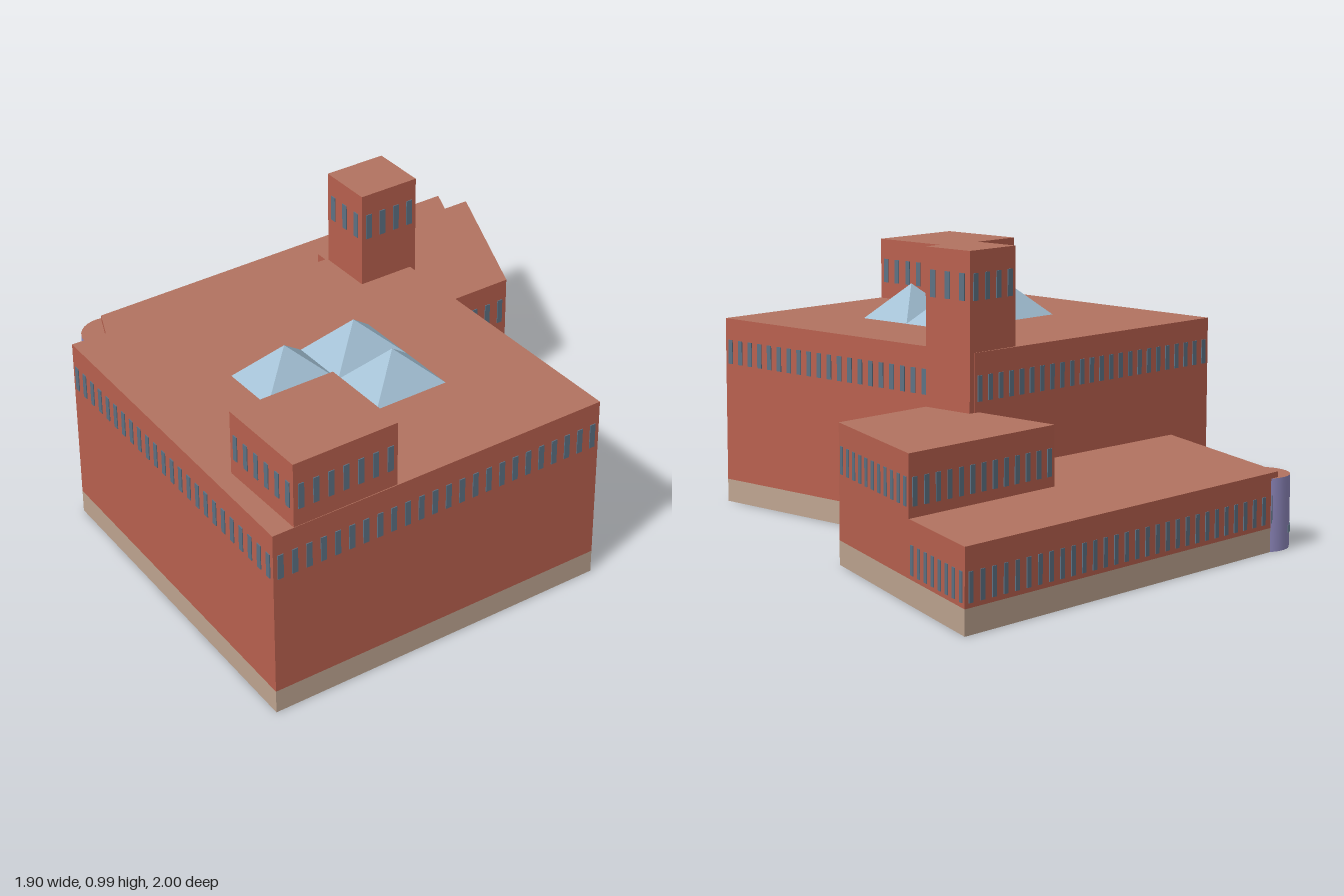
import * as THREE from 'three';

const mat = (name, color) => {
  const m = new THREE.MeshStandardMaterial({ color, side: THREE.DoubleSide });
  m.name = name;
  return m;
};

export function createModel() {
  const model = new THREE.Group();
  const brick = mat('brick red', 0xb9614f);
  const roofing = mat('roof brown', 0xb27360);
  const stone = mat('base tan', 0xbfa591);
  const pane = mat('window blue', 0x5d7284);
  const glass = mat('skylight blue', 0xa2bfd3);
  const purple = mat('turret purple', 0x918ac0);

  const add = (parent, name, geometry, material, x = 0, y = 0, z = 0) => {
    const mesh = new THREE.Mesh(geometry, material);
    mesh.name = name;
    mesh.position.set(x, y, z);
    parent.add(mesh);
    return mesh;
  };

  // upright panel between two ground points [x, z]
  const panel = (parent, name, a, b, y0, y1, material) => {
    const dx = b[0] - a[0], dz = b[1] - a[1];
    const mesh = add(parent, name, new THREE.PlaneGeometry(Math.hypot(dx, dz), y1 - y0), material,
      (a[0] + b[0]) / 2, (y0 + y1) / 2, (a[1] + b[1]) / 2);
    mesh.rotation.y = Math.atan2(-dz, dx);
  };

  // evenly spaced thin panes along a wall
  const windowRow = (parent, a, b, y0, y1, count, width) => {
    const dx = b[0] - a[0], dz = b[1] - a[1];
    for (let i = 0; i < count; i++) {
      const t = (i + 0.5) / count;
      const w = add(parent, 'window', new THREE.BoxGeometry(width, y1 - y0, 0.006), pane,
        a[0] + dx * t, (y0 + y1) / 2, a[1] + dz * t);
      w.rotation.y = Math.atan2(-dz, dx);
    }
  };

  // block with open bottom: optional stone base, brick walls, flat roof, window rows
  const block = ({ name, plan, bottom = 0, base = 0, top, win, counts, width = 0.02 }) => {
    const group = new THREE.Group();
    group.name = name;
    model.add(group);
    plan.forEach((a, i) => {
      const b = plan[(i + 1) % plan.length];
      if (base) panel(group, 'base', a, b, bottom, bottom + base, stone);
      panel(group, 'wall', a, b, bottom + base, top, brick);
      if (counts[i]) windowRow(group, a, b, win[0], win[1], counts[i], width);
    });
    const shape = new THREE.Shape(plan.map(([x, z]) => new THREE.Vector2(x, -z)));
    add(group, 'roof', new THREE.ShapeGeometry(shape).rotateX(-Math.PI / 2), roofing, 0, top, 0);
  };

  block({
    name: 'mainHall', base: 0.08, top: 0.655, win: [0.495, 0.58], counts: [24, 24, 24, 24],
    plan: [[-0.28, 0.957], [0.943, 1], [0.948, -0.21], [-0.245, -0.21]],
  });
  block({
    name: 'lowWing', base: 0.08, top: 0.262, win: [0.095, 0.187], counts: [14, 18, 0, 0, 8, 30], width: 0.018,
    plan: [[-0.937, 0.49], [-0.245, 0.777], [-0.22, -0.19], [-0.57, -0.19], [-0.57, -0.845], [-0.943, -1]],
  });
  block({
    name: 'middleWing', base: 0.08, top: 0.46, win: [0.297, 0.387], counts: [10, 8, 11, 13],
    plan: [[-0.57, -0.19], [-0.047, -0.19], [-0.047, -0.625], [-0.57, -0.845]],
  });
  block({
    name: 'tower', base: 0.08, top: 0.985, win: [0.823, 0.912], counts: [3, 4, 3, 4], width: 0.022,
    plan: [[-0.243, -0.013], [-0.048, -0.013], [-0.048, -0.23], [-0.243, -0.23]],
  });
  block({
    name: 'cornerPenthouse', bottom: 0.655, top: 0.875, win: [0.715, 0.802], counts: [6, 7, 6, 7],
    plan: [[0.61, 0.925], [0.942, 0.925], [0.942, 0.557], [0.61, 0.557]],
  });

  // four skylight pyramids
  const pyramid = new THREE.ConeGeometry(Math.SQRT1_2, 1, 4, 1, true).rotateY(Math.PI / 4)
    .scale(0.209, 0.12, 0.263).toNonIndexed();
  pyramid.computeVertexNormals();
  for (const x of [0.274, 0.483]) {
    for (const z of [0.247, 0.51]) add(model, 'skylight', pyramid, glass, x, 0.716, z);
  }

  // round turret at the front corner of the low wing
  const turret = new THREE.Group();
  turret.name = 'cornerTurret';
  turret.position.set(-0.848, 0, 0.505);
  model.add(turret);
  const radius = 0.103, height = 0.243;
  add(turret, 'turretWall', new THREE.CylinderGeometry(radius, radius, height, 32, 1, true), purple, 0, height / 2, 0);
  add(turret, 'turretRoof', new THREE.CircleGeometry(radius, 32).rotateX(-Math.PI / 2), roofing, 0, height, 0);
  for (let i = 0; i < 7; i++) {
    const angle = -1.2 + i * 0.27;
    const w = add(turret, 'turretWindow', new THREE.BoxGeometry(0.014, 0.024, 0.006), pane,
      Math.sin(angle) * radius, 0.065, Math.cos(angle) * radius);
    w.rotation.y = angle;
  }
  return model;
}
